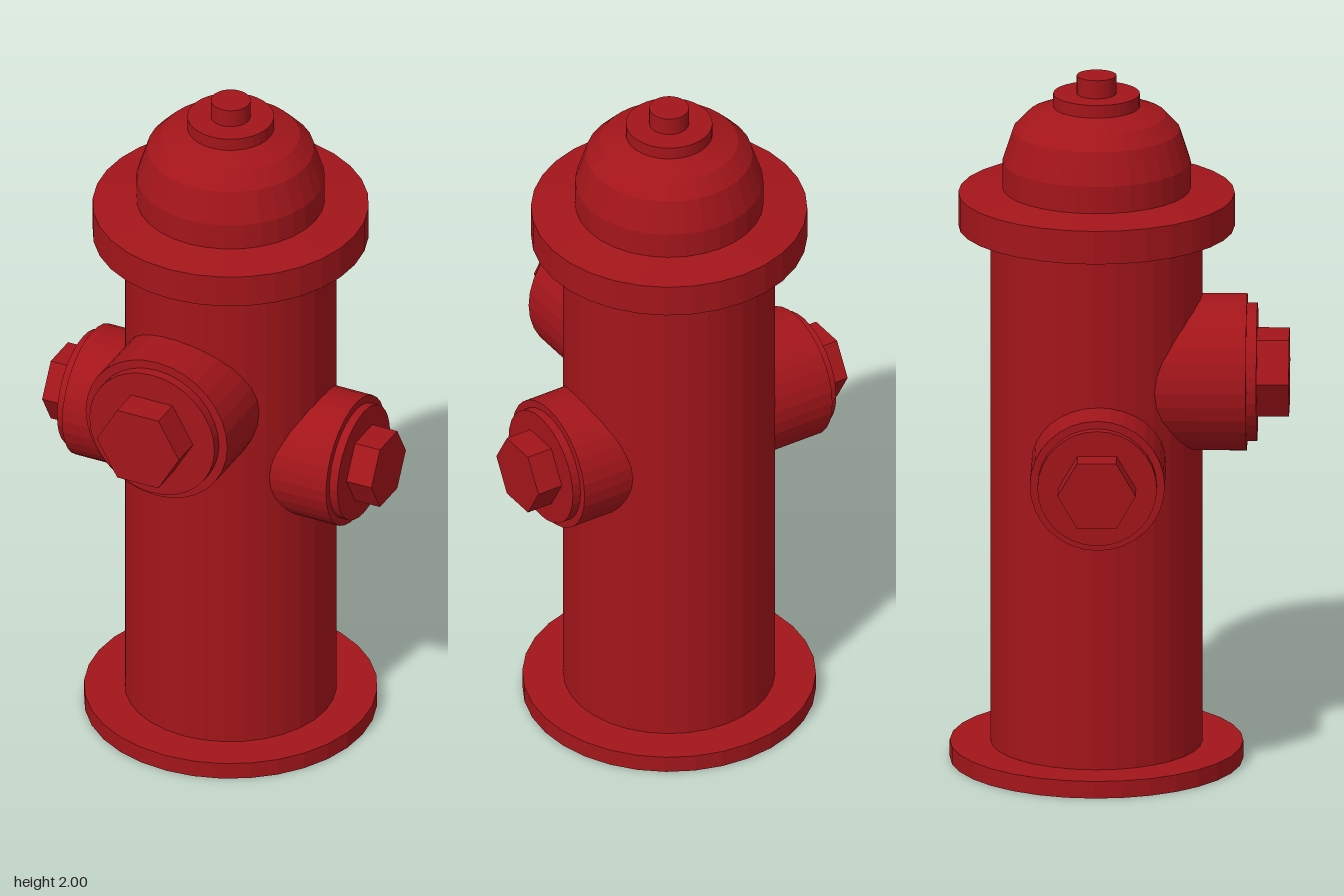
import * as THREE from 'three';

const material = new THREE.MeshStandardMaterial({ color: 0xa3151a, flatShading: true });

// Solid of revolution about y from [radius, height] pairs, listed bottom to top
function turned(name, profile, sides = 32) {
  const points = profile.map(([r, y]) => new THREE.Vector2(r, y));
  const mesh = new THREE.Mesh(new THREE.LatheGeometry(points, sides), material);
  mesh.name = name;
  return mesh;
}

// Outlet pointing along +z: wide collar, narrower cap and hexagonal nut
function outlet(name, { collar, cap, nut, ends }) {
  const [collarEnd, capEnd, nutEnd] = ends;
  const group = new THREE.Group();
  group.name = name;
  const collarMesh = turned('outletCollar', [[0, 0.1], [collar, 0.1], [collar, collarEnd], [0, collarEnd]]);
  const capMesh = turned('outletCap', [[0, collarEnd - 0.02], [cap, collarEnd - 0.02], [cap, capEnd], [0, capEnd]]);
  const nutMesh = turned('outletNut', [[0, capEnd - 0.01], [nut, capEnd - 0.01], [nut, nutEnd], [0, nutEnd]], 6);
  nutMesh.geometry.rotateY(Math.PI / 6);
  for (const mesh of [collarMesh, capMesh, nutMesh]) {
    mesh.geometry.rotateX(Math.PI / 2);
    group.add(mesh);
  }
  return group;
}

export function createModel() {
  const hydrant = new THREE.Group();
  hydrant.name = 'hydrant';
  hydrant.position.set(0.015, 0, -0.065);

  // Barrel stack
  hydrant.add(
    turned('base', [[0, 0], [0.413, 0], [0.413, 0.05], [0, 0.05]]),
    turned('barrel', [[0, 0.04], [0.298, 0.04], [0.298, 1.58], [0, 1.58]]),
    turned('flange', [[0, 1.56], [0.389, 1.56], [0.389, 1.657], [0.265, 1.672], [0, 1.672]]),
    turned('bonnet', [
      [0.265, 1.66], [0.265, 1.75], [0.235, 1.843], [0.195, 1.885], [0.122, 1.91], [0, 1.915],
    ]),
    turned('topDisc', [[0, 1.9], [0.122, 1.9], [0.122, 1.947], [0, 1.947]]),
    turned('topNut', [[0, 1.94], [0.056, 1.94], [0.056, 2], [0, 2]]),
  );

  // Large front outlet
  const front = outlet('frontOutlet', { collar: 0.222, cap: 0.196, nut: 0.129, ends: [0.424, 0.453, 0.543] });
  front.position.set(-0.024, 1.139, 0);
  hydrant.add(front);

  // Smaller outlets on both sides
  for (const [name, side, y] of [['leftOutlet', 1, 0.916], ['rightOutlet', -1, 0.922]]) {
    const ends = side > 0 ? [0.397, 0.422, 0.5] : [0.43, 0.457, 0.532];
    const arm = outlet(name, { collar: 0.19, cap: 0.168, nut: 0.11, ends });
    arm.rotation.y = side * Math.PI / 2;
    arm.position.set(0, y, 0.01);
    hydrant.add(arm);
  }

  const model = new THREE.Group();
  model.add(hydrant);
  return model;
}
